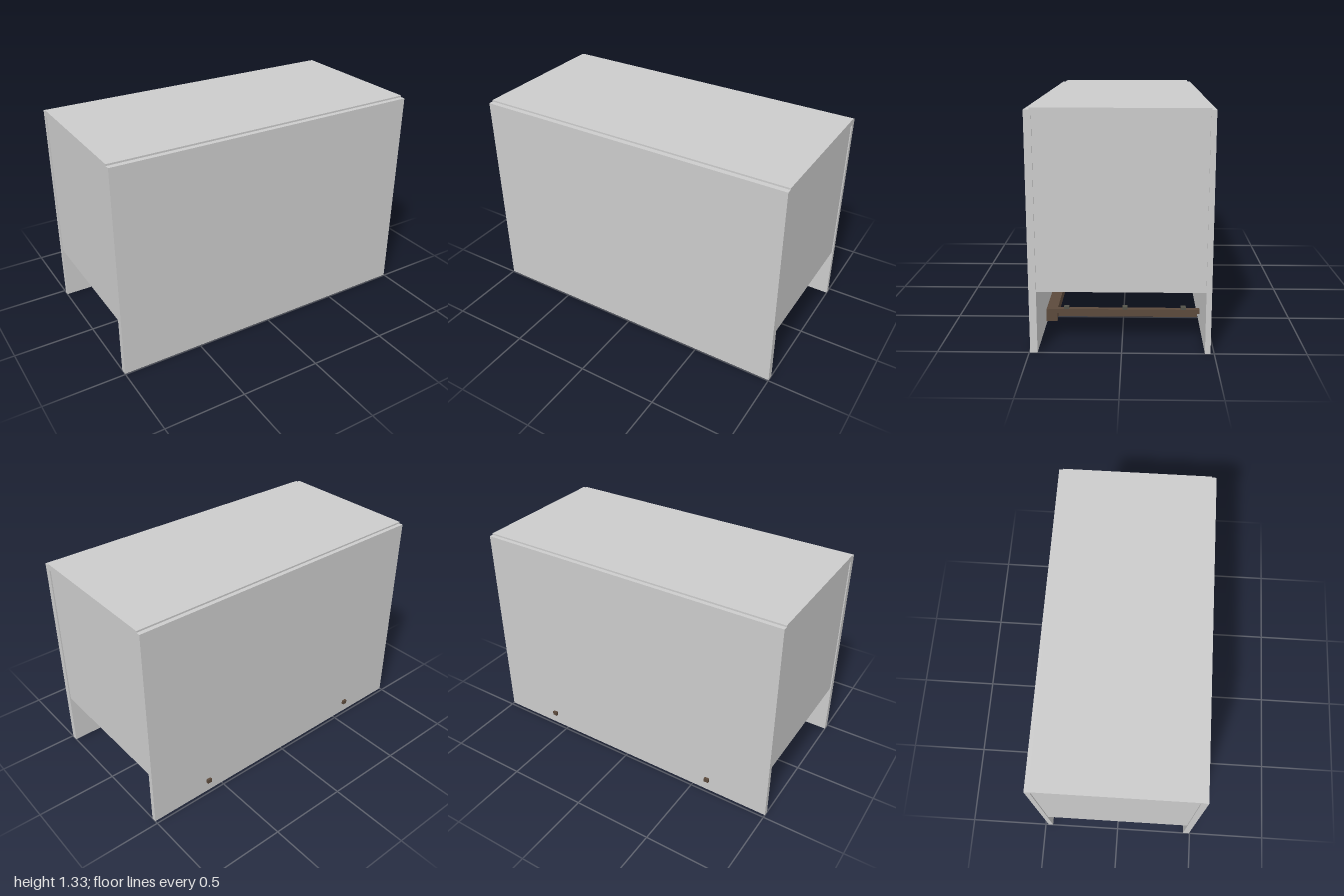
import * as THREE from 'three';

const grey = new THREE.MeshStandardMaterial({ color: 0xcccccc });
const brown = new THREE.MeshStandardMaterial({ color: 0x5c4a3c });
const darkGrey = new THREE.MeshStandardMaterial({ color: 0x54544a });

// Box given by its [min, max] extent on each axis
function block(parent, name, material, [x0, x1], [y0, y1], [z0, z1]) {
  const mesh = new THREE.Mesh(new THREE.BoxGeometry(x1 - x0, y1 - y0, z1 - z0), material);
  mesh.position.set((x0 + x1) / 2, (y0 + y1) / 2, (z0 + z1) / 2);
  mesh.name = name;
  parent.add(mesh);
}

// Extent on the x axis, mirrored for the right side
const mirrored = (side, a, b) => (side > 0 ? [a, b] : [-b, -a]);

export function createModel() {
  const model = new THREE.Group();
  model.name = 'cabinet';

  // Cabinet shell, open underneath
  const shell = new THREE.Group();
  shell.name = 'shell';
  model.add(shell);
  block(shell, 'frontPanel', grey, [-1, 1], [0, 1.315], [0.455, 0.495]);
  block(shell, 'backPanel', grey, [-1, 1], [0, 1.315], [-0.48, -0.45]);
  block(shell, 'topPanel', grey, [-1, 1], [1.285, 1.325], [-0.455, 0.465]);

  // Sliding base frame
  const frame = new THREE.Group();
  frame.name = 'baseFrame';
  model.add(frame);

  for (const side of [1, -1]) {
    const name = side > 0 ? 'left' : 'right';
    block(shell, name + 'EndPanel', grey, mirrored(side, 0.945, 0.993), [0.345, 1.285], [-0.45, 0.455]);

    // Upper rail passes through the back panel
    block(frame, name + 'UpperRail', brown, mirrored(side, 0.585, 0.615), [0.07, 0.096], [-0.495, 0.44]);
    block(frame, name + 'LowerRail', brown, mirrored(side, 0.54, 0.565), [0.03, 0.072], [-0.44, 0.4]);
    for (const z of [0.335, -0.01, -0.355])
      block(frame, name + 'Peg', darkGrey, mirrored(side, 0.585, 0.615), [0.096, 0.11], [z - 0.015, z + 0.015]);

    // Cap closing the end of the front beam
    block(frame, name + 'BeamCap', brown, mirrored(side, 0.59, 0.605), [0.015, 0.087], [0.39, 0.455]);
  }

  // Front beam: a channel open downwards, with a small lip
  block(frame, 'beamTop', brown, [-0.59, 0.59], [0.07, 0.087], [0.39, 0.455]);
  block(frame, 'beamBackWall', brown, [-0.59, 0.59], [0.03, 0.07], [0.39, 0.405]);
  block(frame, 'beamFrontWall', brown, [-0.59, 0.59], [0.015, 0.07], [0.435, 0.455]);
  block(frame, 'beamLip', brown, [-0.59, 0.59], [0.008, 0.07], [0.427, 0.435]);

  return model;
}
